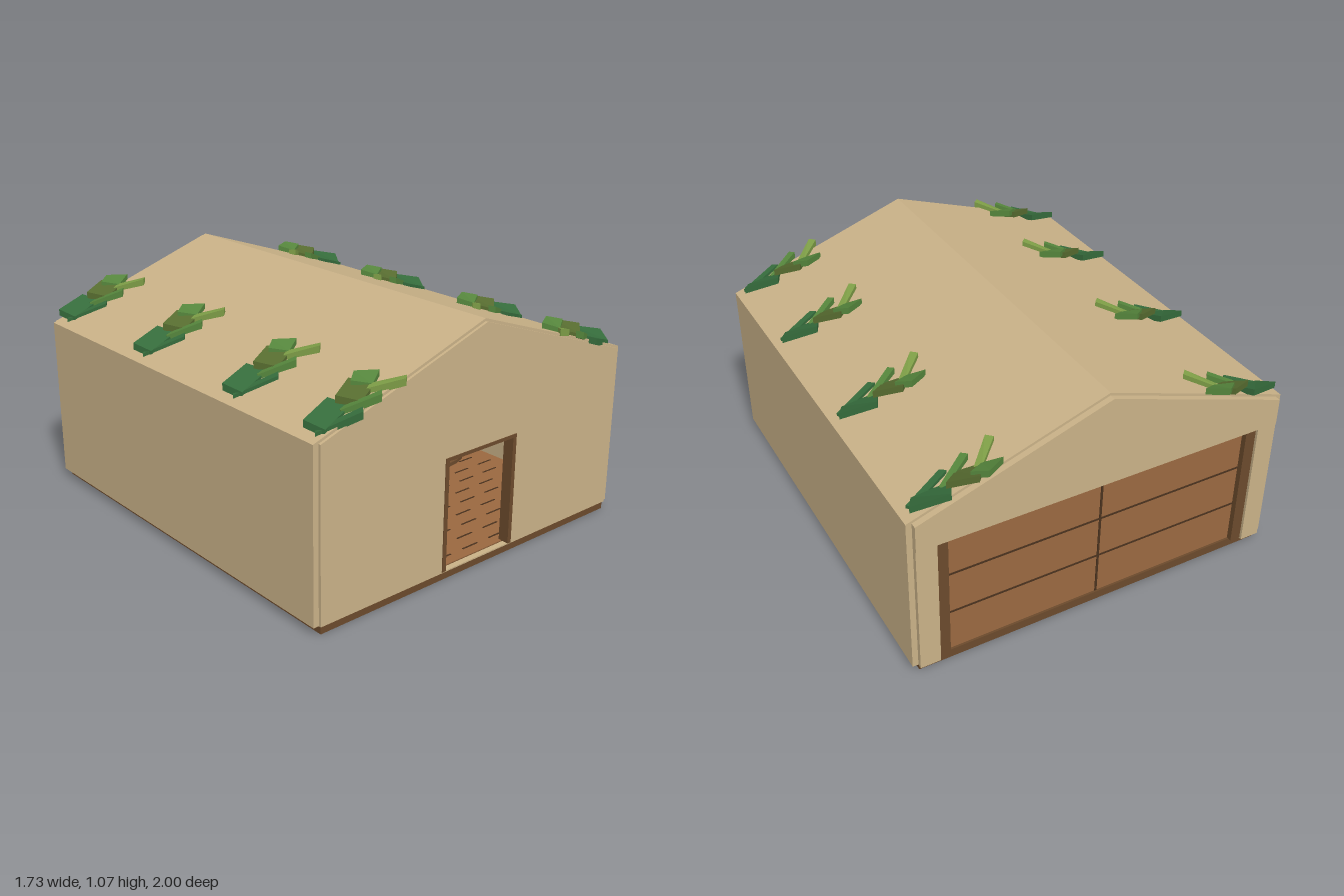
import * as THREE from 'three';

const mat = (name, color) => Object.assign(new THREE.MeshStandardMaterial({ color }), { name });

export function createModel() {
  const sand = mat('sandstone', 0xc9b187);
  const wood = mat('dark wood', 0x6b4a2c);
  const plank = mat('plank brown', 0x9a6840);
  const seam = mat('seam brown', 0x4a321e);
  const deep = mat('deep green', 0x356b3b);
  const olive = mat('olive green', 0x566b2f);
  const mid = mat('leaf green', 0x55853c);
  const bright = mat('bright green', 0x7d9d46);
  const root = new THREE.Group();
  root.name = 'shed';

  const add = (name, geo, material, parent = root) => {
    const m = new THREE.Mesh(geo, material);
    m.name = name;
    parent.add(m);
    return m;
  };
  // Box given by its limits on each axis
  const box = (name, material, x0, x1, y0, y1, z0, z1, parent = root) => {
    const m = add(name, new THREE.BoxGeometry(x1 - x0, y1 - y0, z1 - z0), material, parent);
    m.position.set((x0 + x1) / 2, (y0 + y1) / 2, (z0 + z1) / 2);
    return m;
  };
  const points = (list) => list.map(([x, y]) => new THREE.Vector2(x, y));
  const extrude = (name, outline, hole, z0, z1) => {
    const shape = new THREE.Shape(points(outline));
    if (hole) shape.holes.push(new THREE.Path(points(hole)));
    const geo = new THREE.ExtrudeGeometry(shape, { depth: z1 - z0, bevelEnabled: false });
    geo.translate(0, 0, z0);
    return add(name, geo, sand);
  };
  const gable = (w, base, eave, ridge) => [[-w, base], [w, base], [w, eave], [0, ridge], [-w, eave]];

  // Foundation, side walls and roof as one folded shell
  box('foundation', wood, -0.835, 0.835, 0, 0.04, -0.945, 0.955);
  extrude('wallsAndRoof', [
    [-0.865, 0.035], [-0.835, 0.035], [-0.835, 0.755], [0, 1.04], [0.835, 0.755], [0.835, 0.035],
    [0.865, 0.035], [0.865, 0.775], [0, 1.07], [-0.865, 0.775],
  ], null, -0.95, 0.95);

  // Front gable with doorway
  extrude('frontWall', gable(0.84, 0.035, 0.772, 1.058),
    [[-0.2, 0.041], [-0.2, 0.535], [0.2, 0.535], [0.2, 0.041]], 0.935, 0.962);
  for (const s of [-1, 1]) {
    const x = 0.195 * s;
    box('doorJamb', wood, x - 0.01, x + 0.01, 0.04, 0.54, 0.915, 0.965);
  }
  box('doorLintel', wood, -0.205, 0.205, 0.525, 0.54, 0.915, 0.965);

  // Back gable: header and corner posts around the recessed doors
  extrude('backHeader', gable(0.84, 0.65, 0.772, 1.058), null, -0.977, -0.945);
  box('backDoorLintel', wood, -0.75, 0.75, 0.635, 0.65, -0.96, -0.925);
  for (const s of [-1, 1]) {
    box('backCornerPost', sand, s * 0.795 - 0.045, s * 0.795 + 0.045, 0.035, 0.65, -0.972, -0.93);
    box('backDoorPost', wood, s * 0.725 - 0.025, s * 0.725 + 0.025, 0.04, 0.65, -0.96, -0.92);
    box('backDoor', plank, s * 0.375 - 0.375, s * 0.375 + 0.375, 0.04, 0.65, -0.935, -0.915);
  }
  for (const z of [-0.936, -0.914]) {
    for (const y of [0.24, 0.44]) box('doorSeam', seam, -0.7, 0.7, y - 0.004, y + 0.004, z - 0.002, z + 0.002);
    box('doorSplit', seam, -0.005, 0.005, 0.04, 0.64, z - 0.002, z + 0.002);
  }
  box('backInnerTrim', sand, -0.2, 0.2, 0.505, 0.53, -0.91, -0.9);

  // Plank floor with staggered seams
  box('floor', plank, -0.83, 0.83, 0.04, 0.043, -0.91, 0.93);
  for (let i = 0; i < 23; i++) {
    const z = 0.88 - i * 0.08;
    for (let j = 0; j < 10; j++) {
      const x = -0.8 + j * 0.16 + (i % 2) * 0.05;
      box('floorSeam', seam, x, x + 0.09, 0.043, 0.0445, z - 0.004, z + 0.004);
    }
  }

  // Round planters and centre mat
  const disc = (name, material, r, y0, y1, x) => {
    const m = add(name, new THREE.CylinderGeometry(r, r, y1 - y0, 24), material);
    m.position.set(x, (y0 + y1) / 2, 0);
  };
  disc('mat', mid, 0.25, 0.043, 0.049, 0);
  for (const x of [-0.56, 0.56]) {
    disc('planterFoot', wood, 0.25, 0.043, 0.06, x);
    disc('planterRim', plank, 0.24, 0.06, 0.085, x);
    disc('planterGreen', mid, 0.215, 0.085, 0.095, x);
  }

  // Stand with a padlock board
  const stand = new THREE.Group();
  stand.name = 'lockStand';
  root.add(stand);
  box('post', wood, -0.035, 0.035, 0.04, 0.19, -0.035, 0.035, stand);
  box('neck', sand, -0.025, 0.025, 0.19, 0.25, -0.025, 0.025, stand);
  box('board', wood, -0.08, 0.08, 0.25, 0.46, -0.03, 0.03, stand);
  box('lockBody', plank, -0.032, 0.032, 0.29, 0.365, 0.03, 0.039, stand);
  box('shackle', sand, -0.03, 0.03, 0.365, 0.41, 0.03, 0.036, stand);
  box('shackleGap', wood, -0.018, 0.018, 0.365, 0.395, 0.036, 0.038, stand);
  box('keyhole', seam, -0.005, 0.005, 0.31, 0.345, 0.039, 0.041, stand);
  for (const s of [-1, 1]) {
    box('arm', sand, s * 0.053 - 0.018, s * 0.053 + 0.018, 0.12, 0.19, -0.025, 0.025, stand);
    box('topSlat', wood, s * 0.027 - 0.006, s * 0.027 + 0.006, 0.46, 0.5, -0.01, 0.01, stand);
  }

  // Leaf: a slab over four corners [x, z, height above the roof]
  const leafGeometry = (corners, side) => {
    const p = [];
    for (const drop of [0, 0.03])
      for (const [x, z, h] of corners) p.push(side * x, 1.07 - 0.341 * x + h - drop, z);
    const idx = [0, 2, 1, 0, 3, 2, 4, 5, 6, 4, 6, 7];
    for (let i = 0; i < 4; i++) {
      const j = (i + 1) % 4;
      idx.push(i, j, j + 4, i, j + 4, i + 4);
    }
    if (side < 0) for (let i = 0; i < idx.length; i += 3) [idx[i], idx[i + 1]] = [idx[i + 1], idx[i]];
    const indexed = new THREE.BufferGeometry();
    indexed.setAttribute('position', new THREE.Float32BufferAttribute(p, 3));
    indexed.setIndex(idx);
    const geo = indexed.toNonIndexed();
    geo.computeVertexNormals();
    return geo;
  };
  // Corners run clockwise seen from above
  const leaves = [
    [deep, [[0.69, -0.08, 0.04], [0.84, -0.035, 0.055], [0.8, 0.04, 0.015], [0.65, 0.005, 0.01]]],
    [olive, [[0.58, -0.09, 0.05], [0.69, -0.035, 0.06], [0.62, 0.03, 0.015], [0.52, -0.01, 0.015]]],
    [mid, [[0.545, -0.1, 0.055], [0.6, -0.055, 0.06], [0.53, -0.01, 0.02], [0.46, -0.05, 0.025]]],
    [deep, [[0.81, -0.005, 0.012], [0.83, 0.02, 0.015], [0.66, 0.085, 0.015], [0.64, 0.06, 0.015]]],
    [mid, [[0.69, -0.02, 0.015], [0.7, 0.005, 0.02], [0.57, 0.085, 0.03], [0.55, 0.06, 0.028]]],
    [bright, [[0.54, -0.03, 0.02], [0.565, -0.01, 0.02], [0.46, 0.095, 0.03], [0.435, 0.07, 0.022]]],
  ];
  for (const z of [-0.9, -0.245, 0.405, 0.9]) {
    for (const side of [-1, 1]) {
      const cluster = new THREE.Group();
      cluster.name = 'leafCluster';
      cluster.position.z = z;
      root.add(cluster);
      for (const [material, corners] of leaves) add('leaf', leafGeometry(corners, side), material, cluster);
    }
  }
  return root;
}
